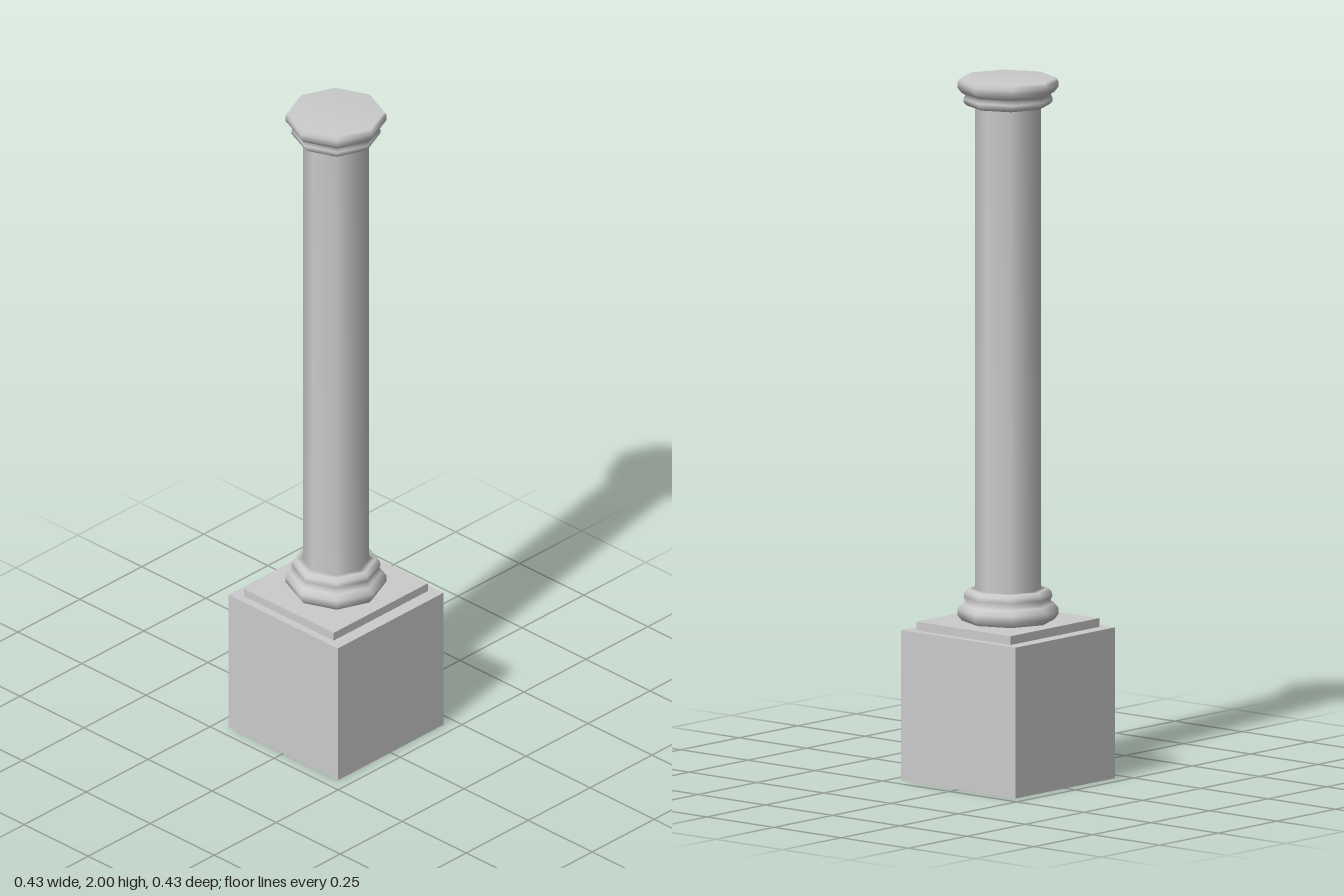
import * as THREE from 'three';

const material = new THREE.MeshStandardMaterial({ color: 0xcccccc, side: THREE.DoubleSide });

// Box standing on height y, without its bottom face
function openBox(name, w, h, d, y) {
  const geometry = new THREE.BoxGeometry(w, h, d);
  const index = Array.from(geometry.index.array);
  index.splice(18, 6); // bottom face
  geometry.setIndex(index);
  geometry.clearGroups();
  geometry.translate(0, y + h / 2, 0);
  const mesh = new THREE.Mesh(geometry, material);
  mesh.name = name;
  return mesh;
}

export function createModel() {
  const group = new THREE.Group();
  group.name = 'pillar';

  // Square pedestal, hollow from below, and the thin slab on it
  group.add(openBox('pedestal', 0.426, 0.43, 0.426, 0));
  group.add(openBox('plinthSlab', 0.349, 0.025, 0.38, 0.43));

  // Eight-sided column, smooth shaded from base mouldings to capital
  const baseProfile = [
    [0.13, 0.455], [0.142, 0.47], [0.142, 0.488], [0.13, 0.503],
    [0.12, 0.51], [0.125, 0.523], [0.122, 0.536], [0.112, 0.545],
  ];
  const shaftProfile = [[0.093, 0.545], [0.093, 1.923]];
  const capitalProfile = [
    [0.115, 1.923], [0.125, 1.932], [0.125, 1.943], [0.12, 1.953],
    [0.131, 1.96], [0.142, 1.974], [0.142, 1.989], [0.136, 2], [0, 2],
  ];
  const points = [...baseProfile, ...shaftProfile, ...capitalProfile]
    .map(([r, y]) => new THREE.Vector2(r, y));
  const column = new THREE.Mesh(new THREE.LatheGeometry(points, 8), material);
  column.name = 'column';
  group.add(column);

  return group;
}
